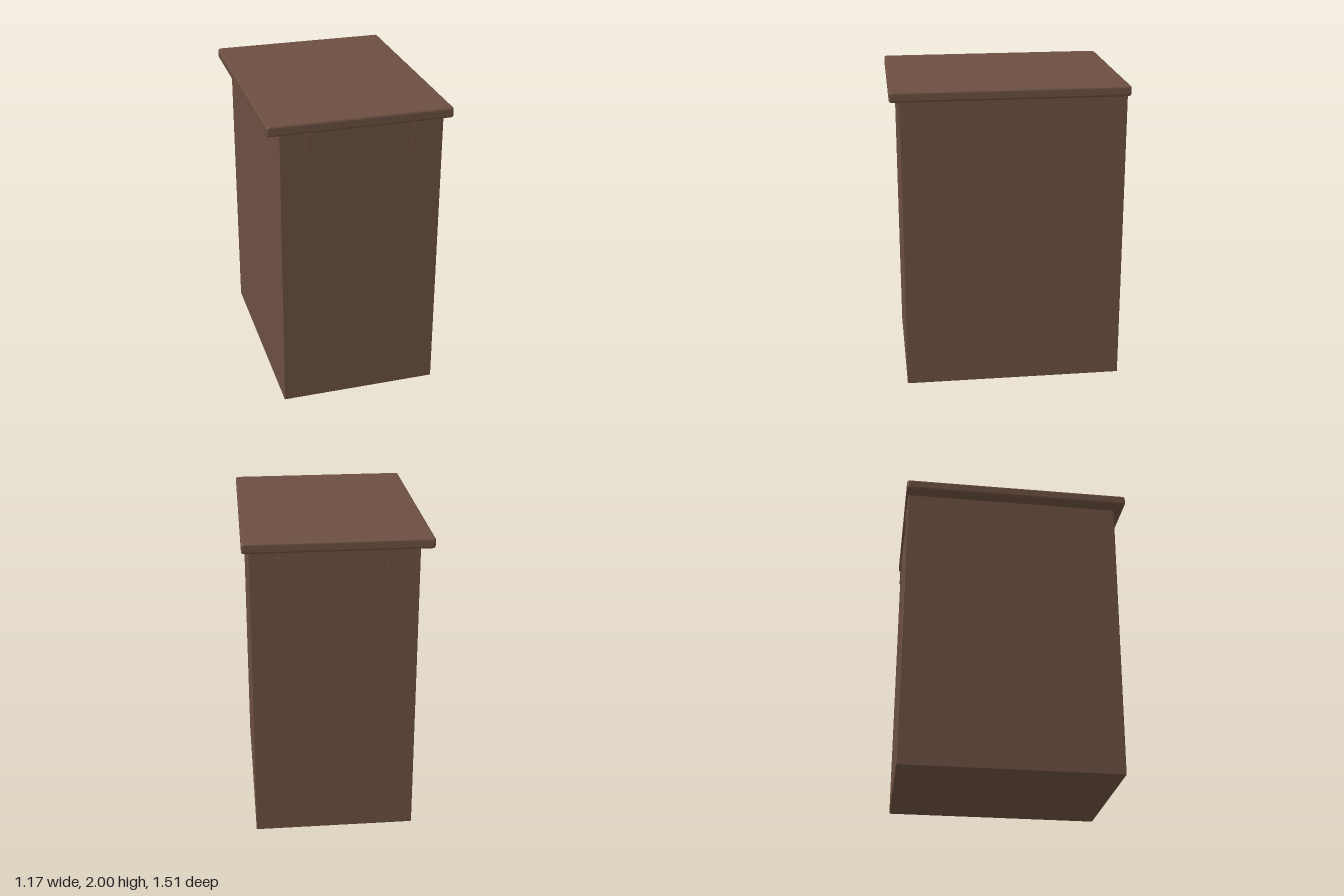
import * as THREE from 'three';
import { RoundedBoxGeometry } from 'three/addons/geometries/RoundedBoxGeometry.js';

const brown = new THREE.MeshStandardMaterial({ color: 0x6b4e40 });
brown.name = 'brown';

// rounded block given by its minimum and maximum corners
function block(name, min, max, radius) {
  const size = max.map((v, i) => v - min[i]);
  const geometry = radius
    ? new RoundedBoxGeometry(...size, 3, radius)
    : new THREE.BoxGeometry(...size);
  const mesh = new THREE.Mesh(geometry, brown);
  mesh.name = name;
  mesh.position.set(...max.map((v, i) => (v + min[i]) / 2));
  return mesh;
}

export function createModel() {
  const group = new THREE.Group();
  group.name = 'lidded box';

  // tall box, set slightly off-centre under the lid
  group.add(block('body', [-0.497, 0, -0.738], [0.54, 1.95, 0.691], 0.004));

  // overhanging lid with softened edges
  group.add(block('lid', [-0.585, 1.932, -0.752], [0.582, 2, 0.754], 0.016));

  // small upright cleats near the top of the front and back
  for (const x of [-0.317, 0.36]) {
    const front = x < 0 ? 0.698 : 0.696;
    group.add(block('frontCleat', [x - 0.021, 1.722, 0.65], [x + 0.021, 1.908, front]));
    group.add(block('backCleat', [x - 0.021, 1.722, -0.746], [x + 0.021, 1.908, -0.7]));
  }
  return group;
}
